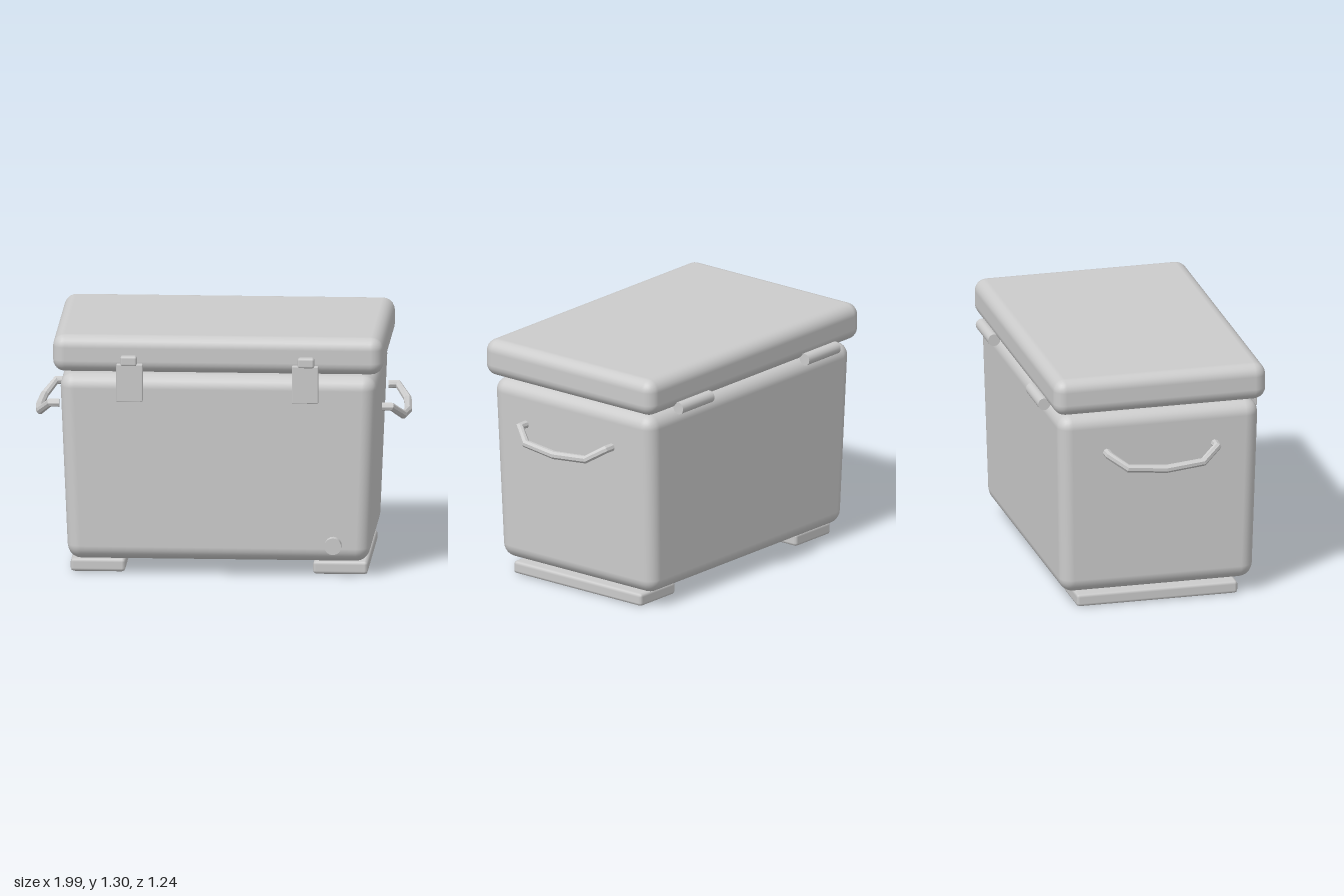
import * as THREE from 'three';
import { RoundedBoxGeometry } from 'three/addons/geometries/RoundedBoxGeometry.js';

const material = new THREE.MeshStandardMaterial({ color: 0xcccccc });
const faceted = new THREE.MeshStandardMaterial({ color: 0xcccccc, flatShading: true });

// Polyline whose tangents bisect the corners, so a tube along it is mitred.
class Polyline extends THREE.Curve {
  constructor(points) {
    super();
    this.points = points;
  }
  getPointAt(u, target = new THREE.Vector3()) {
    return target.copy(this.points[Math.round(u * (this.points.length - 1))]);
  }
  getTangentAt(u, target = new THREE.Vector3()) {
    const p = this.points, i = Math.round(u * (p.length - 1));
    target.set(0, 0, 0);
    if (i > 0) target.add(p[i].clone().sub(p[i - 1]).normalize());
    if (i < p.length - 1) target.add(p[i + 1].clone().sub(p[i]).normalize());
    return target.normalize();
  }
}

export function createModel() {
  const model = new THREE.Group();
  model.name = 'coolBox';

  function add(name, geometry, x, y, z, mat = material) {
    const mesh = new THREE.Mesh(geometry, mat);
    mesh.name = name;
    mesh.position.set(x, y, z);
    model.add(mesh);
    return mesh;
  }
  const rounded = (w, h, d, r, segments = 3) => new RoundedBoxGeometry(w, h, d, segments, r);

  // Body, narrowing towards the bottom
  const height = 1.005;
  const body = rounded(1.68, height, 1.10, 0.075);
  const pos = body.attributes.position;
  for (let i = 0; i < pos.count; i++) {
    const down = 0.5 - pos.getY(i) / height;
    pos.setX(i, pos.getX(i) * (1 - 0.05 * down));
    pos.setZ(i, pos.getZ(i) * (1 - 0.045 * down));
  }
  add('body', body, 0, 0.08 + height / 2, 0);

  // Lid
  add('lid', rounded(1.75, 0.2, 1.16, 0.065), 0, 1.2, 0);

  // Drain plug
  add('drainPlug', new THREE.CylinderGeometry(0.045, 0.045, 0.07, 16), 0.61, 0.178, 0.542).rotation.x = Math.PI / 2;

  for (const side of [-1, 1]) {
    const label = side > 0 ? 'left' : 'right';

    // Skid foot, latch and hinge
    add(label + 'Skid', rounded(0.29, 0.07, 0.88, 0.018, 1), side * 0.642, 0.035, 0);
    add(label + 'LatchPlate', rounded(0.14, 0.2, 0.053, 0.005, 1), side * 0.465, 1.055, 0.584);
    add(label + 'LatchTab', rounded(0.088, 0.053, 0.05, 0.012, 1), side * 0.47, 1.173, 0.595);
    add(label + 'Hinge', new THREE.CylinderGeometry(0.033, 0.033, 0.26, 20), side * 0.522, 1.107, -0.585).rotation.z = Math.PI / 2;

    // Drooping carry handle with capped ends
    const path = [
      [0.855, 0.88, 0.295], [0.905, 0.88, 0.295], [0.962, 0.82, 0.205], [0.976, 0.804, 0],
      [0.962, 0.82, -0.205], [0.905, 0.88, -0.295], [0.855, 0.88, -0.295],
    ].map(([x, y, z]) => new THREE.Vector3(side * x, y, z));
    add(label + 'Handle', new THREE.TubeGeometry(new Polyline(path), path.length - 1, 0.022, 8), 0, 0, 0, faceted);
    for (const end of [path[0], path[path.length - 1]]) {
      add(label + 'HandleEnd', new THREE.CircleGeometry(0.022, 8), end.x, end.y, end.z).rotation.y = -side * Math.PI / 2;
    }
  }
  return model;
}
